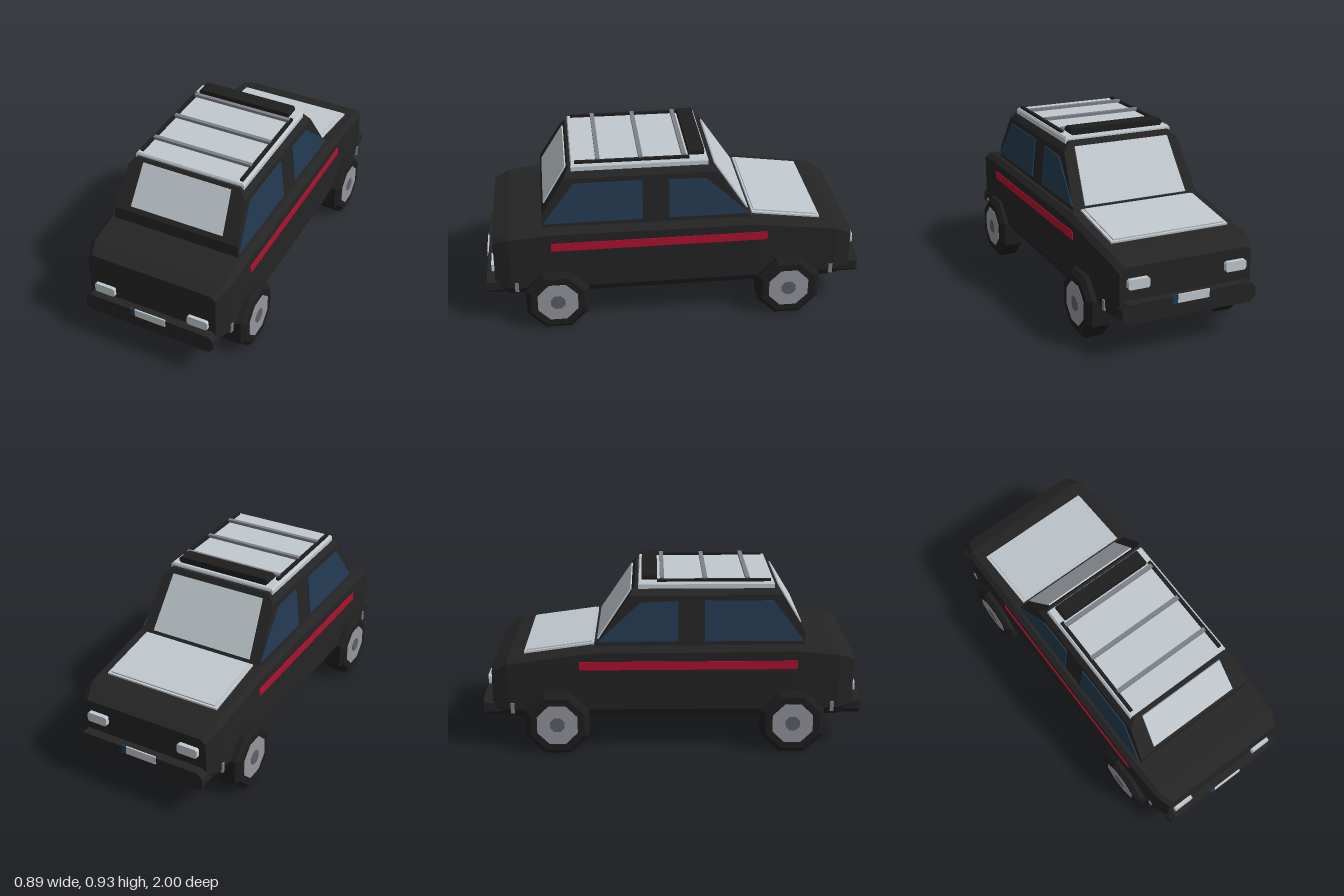
import * as THREE from 'three';

const mat = (name, color) => Object.assign(new THREE.MeshStandardMaterial({ color }), { name });
const V = (x, y, z) => new THREE.Vector3(x, y, z);

// Flat-faced solid through rings of equal length, counter-clockwise seen from the last ring
function loft(rings) {
  const pos = [];
  const tri = (...p) => p.forEach(v => pos.push(v.x, v.y, v.z));
  const n = rings[0].length;
  for (let i = 0; i < rings.length - 1; i++) {
    for (let j = 0; j < n; j++) {
      const k = (j + 1) % n, r = rings[i], s = rings[i + 1];
      tri(r[j], r[k], s[k]);
      tri(r[j], s[k], s[j]);
    }
  }
  const first = rings[0], last = rings[rings.length - 1];
  for (let j = 1; j < n - 1; j++) {
    tri(first[0], first[j + 1], first[j]);
    tri(last[0], last[j], last[j + 1]);
  }
  const g = new THREE.BufferGeometry();
  g.setAttribute('position', new THREE.Float32BufferAttribute(pos, 3));
  g.computeVertexNormals();
  return g;
}

// Plate raised from an outline that is counter-clockwise seen from outside
function plate(points, thickness) {
  const n = points[1].clone().sub(points[0]).cross(points[2].clone().sub(points[0])).normalize();
  return loft([points, points.map(p => p.clone().addScaledVector(n, thickness))]);
}

// Rectangle with cut corners in the xy plane
const section = (z, hw, y0, y1, cx, cb, ct) => [
  V(-hw + cx, y0, z), V(hw - cx, y0, z), V(hw, y0 + cb, z), V(hw, y1 - ct, z),
  V(hw - cx, y1, z), V(-hw + cx, y1, z), V(-hw, y1 - ct, z), V(-hw, y0 + cb, z)];

// Horizontal rectangle
const level = (y, hw, zf, zb) => [V(hw, y, zf), V(hw, y, zb), V(-hw, y, zb), V(-hw, y, zf)];

function facet(geometry) {
  const g = geometry.toNonIndexed();
  g.computeVertexNormals();
  return g;
}

export function createModel() {
  const paint = mat('blackPaint', 0x242424);
  const rubber = mat('rubber', 0x1e1e1e);
  const silver = mat('silver', 0xc0c8ce);
  const glass = mat('blueGlass', 0x223a50);
  const red = mat('redStripe', 0xb01030);
  const rim = mat('rimGrey', 0x94959c);
  const dark = mat('darkGrey', 0x5c5f66);
  const barGrey = mat('barGrey', 0x7e8088);

  const car = new THREE.Group();
  car.name = 'car';
  const add = (name, geometry, material, parent = car) => {
    const m = new THREE.Mesh(geometry, material);
    m.name = name;
    parent.add(m);
    return m;
  };
  const box = (name, x0, x1, y0, y1, z0, z1, material, parent) => {
    const m = add(name, new THREE.BoxGeometry(x1 - x0, y1 - y0, z1 - z0), material, parent);
    m.position.set((x0 + x1) / 2, (y0 + y1) / 2, (z0 + z1) / 2);
    return m;
  };

  // Lower body, from back to front: z, half width, bottom, top
  add('body', loft([
    [-0.945, 0.36, 0.20, 0.46], [-0.86, 0.39, 0.19, 0.51], [-0.42, 0.40, 0.19, 0.57],
    [0.66, 0.40, 0.19, 0.575], [0.87, 0.39, 0.19, 0.55], [0.95, 0.36, 0.20, 0.52],
  ].map(([z, hw, y0, y1]) => section(z, hw, y0, y1, 0.027, 0.045, 0.025))), paint);

  // Cabin: tapering sides and a bevelled roof edge
  add('cabin', loft([
    level(0.56, 0.357, 0.69, -0.405), level(0.64, 0.35, 0.69, -0.353),
    level(0.835, 0.33, 0.571, -0.223), level(0.88, 0.29, 0.544, -0.195),
  ]), paint);

  // Front and rear screens lie on the sloped cabin ends
  const front = (x, y) => V(x, y, 0.69 - (y - 0.64) * 0.609);
  const rear = (x, y) => V(x, y, -0.40 + (y - 0.57) * 0.667);
  add('windscreen', plate([front(-0.26, 0.665), front(0.26, 0.665), front(0.247, 0.865), front(-0.247, 0.865)], 0.007), silver);
  add('rearScreen', plate([rear(0.29, 0.587), rear(-0.29, 0.587), rear(-0.268, 0.853), rear(0.268, 0.853)], 0.008), silver);

  // Raised rear lid
  const lid = (hw, z0, z1, lift) => [[hw, z0], [hw, z1], [-hw, z1], [-hw, z0]]
    .map(([x, z]) => V(x, 0.57 + (z + 0.42) * 0.136 + lift, z));
  add('rearLid', plate(lid(0.322, -0.41, -0.775, -0.002), 0.012), silver);
  add('rearLidPanel', plate(lid(0.307, -0.42, -0.765, 0.009), 0.008), silver);

  // Side windows and stripes, both sides
  const windows = {
    frontSideWindow: [[0.685, 0.595], [0.168, 0.595], [0.168, 0.808], [0.525, 0.808]],
    rearSideWindow: [[0.03, 0.595], [-0.39, 0.595], [-0.165, 0.80], [0.03, 0.805]],
  };
  for (const s of [1, -1]) {
    for (const [name, outline] of Object.entries(windows)) {
      const pts = outline.map(([z, y]) => V(s * (0.35 + (0.64 - y) * 0.1026), y, z));
      add(name, plate(s > 0 ? pts : pts.reverse(), 0.006), glass);
    }
    box('sideStripe', s * 0.4 - 0.004, s * 0.4 + 0.004, 0.455, 0.50, -0.485, 0.65, red);
    for (const z of [0.84, -0.84]) {
      box('sideMarker', s * 0.39 - 0.006, s * 0.39 + 0.006, 0.215, 0.27, z - 0.01, z + 0.01, barGrey);
    }
  }

  // Bumpers, lamps and plates at both ends
  for (const [end, turn, lampY] of [['front', 0, 0.3275], ['rear', Math.PI, 0.378]]) {
    const g = new THREE.Group();
    g.name = end + 'Fittings';
    g.rotation.y = turn;
    car.add(g);
    add(end + 'Bumper', loft([0.84, 0.994].map(z => section(z, 0.366, 0.187, 0.29, 0.028, 0.028, 0.028))), paint, g);
    for (const s of [1, -1]) {
      const lamp = add(end + 'Lamp', loft([0.94, 0.968].map(z => section(z, 0.057, -0.026, 0.026, 0.008, 0.008, 0.008))), silver, g);
      lamp.position.set(s * 0.265, lampY, 0);
    }
    box(end + 'Plate', -0.073, 0.10, 0.256, 0.30, 0.991, 0.999, silver, g);
    box(end + 'PlateBand', -0.10, -0.073, 0.256, 0.30, 0.991, 0.999, glass, g);
  }

  // Roof panel and rack
  add('roofPanel', loft([
    level(0.865, 0.305, 0.53, -0.178), level(0.888, 0.305, 0.53, -0.178), level(0.898, 0.297, 0.525, -0.173),
  ]), silver);
  for (const s of [1, -1]) {
    box('rackRail', s * 0.282 - 0.009, s * 0.282 + 0.009, 0.895, 0.911, -0.08, 0.51, rubber);
  }
  for (const z of [-0.053, 0.17, 0.39]) {
    box('rackCrossbar', -0.278, 0.278, 0.904, 0.92, z - 0.011, z + 0.011, barGrey);
  }
  add('rackLightBar', loft([-0.16, -0.078].map(z => section(z, 0.265, 0.9, 0.934, 0.01, 0.01, 0.01))), rubber);

  // Eight-sided wheels with bevelled tyres; rims show on both faces
  const flat = 1 / Math.cos(Math.PI / 8);
  const disc = (r, w) => facet(new THREE.CylinderGeometry(r * flat, r * flat, w, 8).rotateY(Math.PI / 8));
  const tyre = facet(new THREE.LatheGeometry(
    [[0, -0.068], [0.142, -0.068], [0.165, -0.047], [0.165, 0.047], [0.142, 0.068], [0, 0.068]]
      .map(([r, y]) => new THREE.Vector2(r * flat, y)), 8).rotateY(Math.PI / 8));
  for (const s of [1, -1]) {
    for (const [name, z] of [['frontWheel', 0.63], ['rearWheel', -0.605]]) {
      const w = new THREE.Group();
      w.name = name;
      w.position.set(s * 0.373, 0.165, z);
      w.rotation.z = -s * Math.PI / 2;
      add('tyre', tyre, rubber, w);
      add('rim', disc(0.106, 0.139), rim, w);
      add('hubCap', disc(0.038, 0.144), dark, w);
      car.add(w);
    }
  }
  return car;
}
